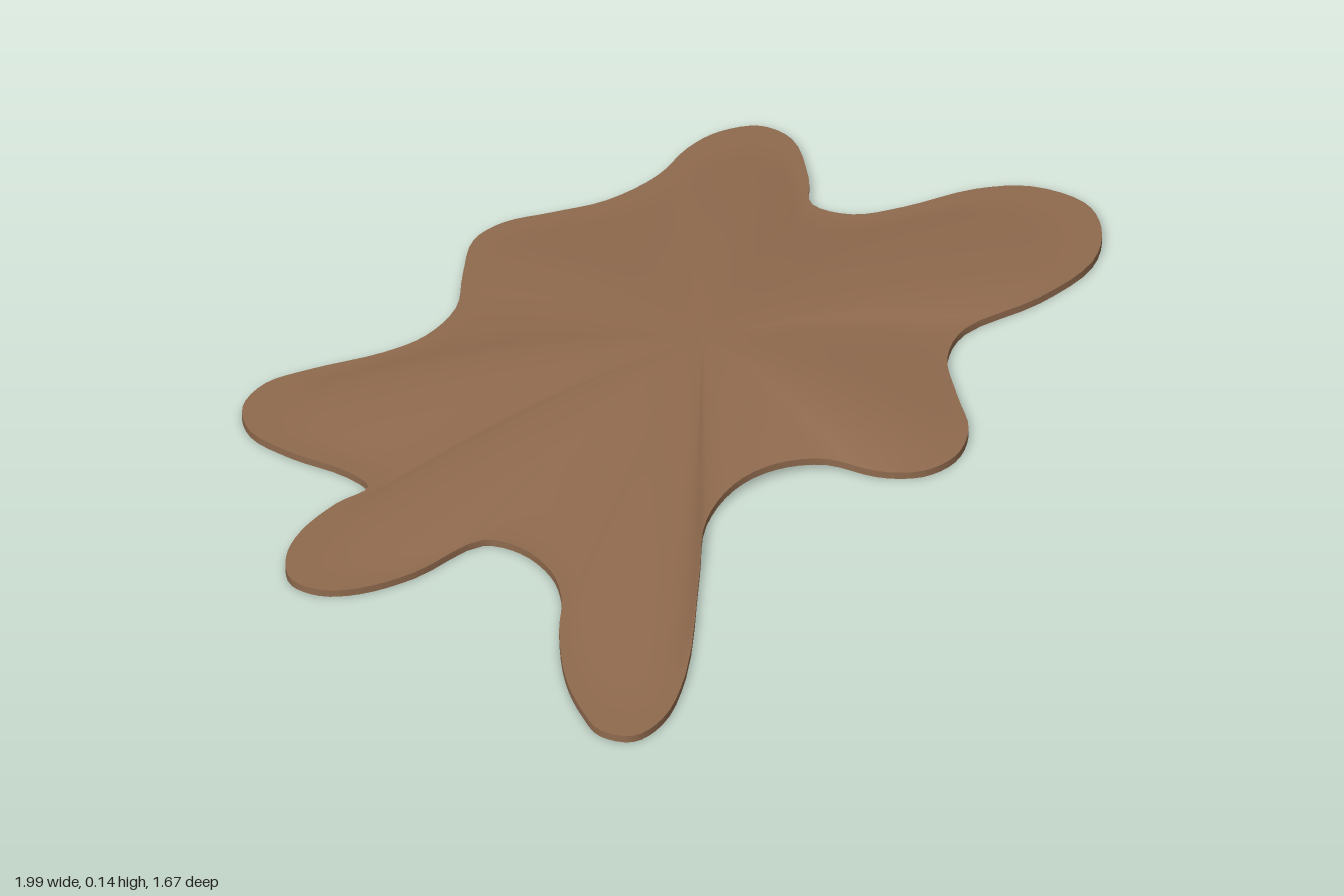
import * as THREE from 'three';

// Outline of the splayed sheet as x, z pairs, clockwise from the back lobe
const OUTLINE = [
  -0.02, -0.79, 0.08, -0.77, 0.19, -0.75, 0.32, -0.77, 0.42, -0.82, 0.5, -0.835, 0.58, -0.81, 0.61, -0.74,
  0.57, -0.61, 0.53, -0.53, 0.58, -0.46, 0.68, -0.43, 0.83, -0.41, 0.93, -0.36, 0.99, -0.26, 0.975, -0.17,
  0.9, -0.08, 0.75, -0.03, 0.57, -0.015, 0.49, 0.05, 0.44, 0.17, 0.4, 0.28, 0.33, 0.345, 0.25, 0.355,
  0.17, 0.31, 0.1, 0.24, 0, 0.21, -0.1, 0.22, -0.2, 0.28, -0.3, 0.42, -0.5, 0.7, -0.62, 0.81,
  -0.7, 0.83, -0.745, 0.78, -0.74, 0.7, -0.71, 0.59, -0.64, 0.45, -0.58, 0.36, -0.55, 0.27, -0.56, 0.17,
  -0.61, 0.11, -0.78, 0.135, -0.9, 0.125, -0.97, 0.09, -1, 0.03, -0.97, -0.04, -0.9, -0.1, -0.79, -0.145,
  -0.71, -0.16, -0.72, -0.23, -0.78, -0.34, -0.81, -0.44, -0.78, -0.52, -0.7, -0.565, -0.6, -0.56, -0.45, -0.535,
  -0.35, -0.54, -0.25, -0.59, -0.18, -0.68, -0.1, -0.77,
];
const CENTRE = new THREE.Vector2(0.02, -0.1);
const SEGMENTS = 240;
const RINGS = 20;
const RIM = 0.015;

// Smooth closed loop of points around the outline
function outlineLoop() {
  const points = [];
  for (let i = 0; i < OUTLINE.length; i += 2) points.push(new THREE.Vector3(OUTLINE[i], 0, OUTLINE[i + 1]));
  return new THREE.CatmullRomCurve3(points, true).getPoints(SEGMENTS).slice(0, SEGMENTS);
}

// Height falls from the middle and runs out flat at the tips; short bays stay a little raised
function heightAt(t, reach) {
  const span = reach < 0.8 ? 0.85 * reach + 0.12 : reach;
  const s = Math.min(1, (t * reach) / (0.9 * span));
  return RIM + (0.14 - RIM) * Math.pow(1 - s * s, 1.1);
}

// Skin a stack of loops, running outwards or downwards, with faces turned outside
function skinLoops(loops) {
  const positions = loops.flat().flatMap((p) => [p.x, p.y, p.z]);
  const index = [];
  for (let r = 0; r < loops.length - 1; r++) {
    for (let i = 0; i < SEGMENTS; i++) {
      const a = r * SEGMENTS + i, b = r * SEGMENTS + (i + 1) % SEGMENTS;
      const c = a + SEGMENTS, d = b + SEGMENTS;
      index.push(a, b, c, b, d, c);
    }
  }
  const geometry = new THREE.BufferGeometry();
  geometry.setAttribute('position', new THREE.Float32BufferAttribute(positions, 3));
  geometry.setIndex(index);
  geometry.computeVertexNormals();
  return geometry;
}

// Lean the normals towards up so the folds between lobes read soft
function softenNormals(geometry) {
  const normals = geometry.attributes.normal;
  const n = new THREE.Vector3();
  for (let i = 0; i < normals.count; i++) {
    n.fromBufferAttribute(normals, i);
    n.y += 2;
    n.normalize();
    normals.setXYZ(i, n.x, n.y, n.z);
  }
  return geometry;
}

export function createModel() {
  const group = new THREE.Group();
  group.name = 'splayedSheet';
  const brown = new THREE.MeshStandardMaterial({ color: 0x8f6a4e, side: THREE.DoubleSide });
  brown.name = 'earthBrown';
  const addPart = (name, geometry) => {
    const mesh = new THREE.Mesh(geometry, brown);
    mesh.name = name;
    group.add(mesh);
  };

  const outline = outlineLoop();
  const ringAt = (t) => outline.map((p) => {
    const dx = p.x - CENTRE.x, dz = p.z - CENTRE.y;
    return new THREE.Vector3(CENTRE.x + dx * t, heightAt(t, Math.hypot(dx, dz)), CENTRE.y + dz * t);
  });

  // Domed sheet, ring by ring from a tiny middle loop to the edge
  const rings = [];
  for (let r = 0; r <= RINGS; r++) rings.push(ringAt(Math.max(0.002, r / RINGS)));
  addPart('domedSheet', softenNormals(skinLoops(rings)));

  // Thin turned-down rim around the edge
  const edge = rings[RINGS];
  addPart('rim', skinLoops([edge, edge.map((p) => new THREE.Vector3(p.x, p.y - RIM, p.z))]));

  return group;
}
